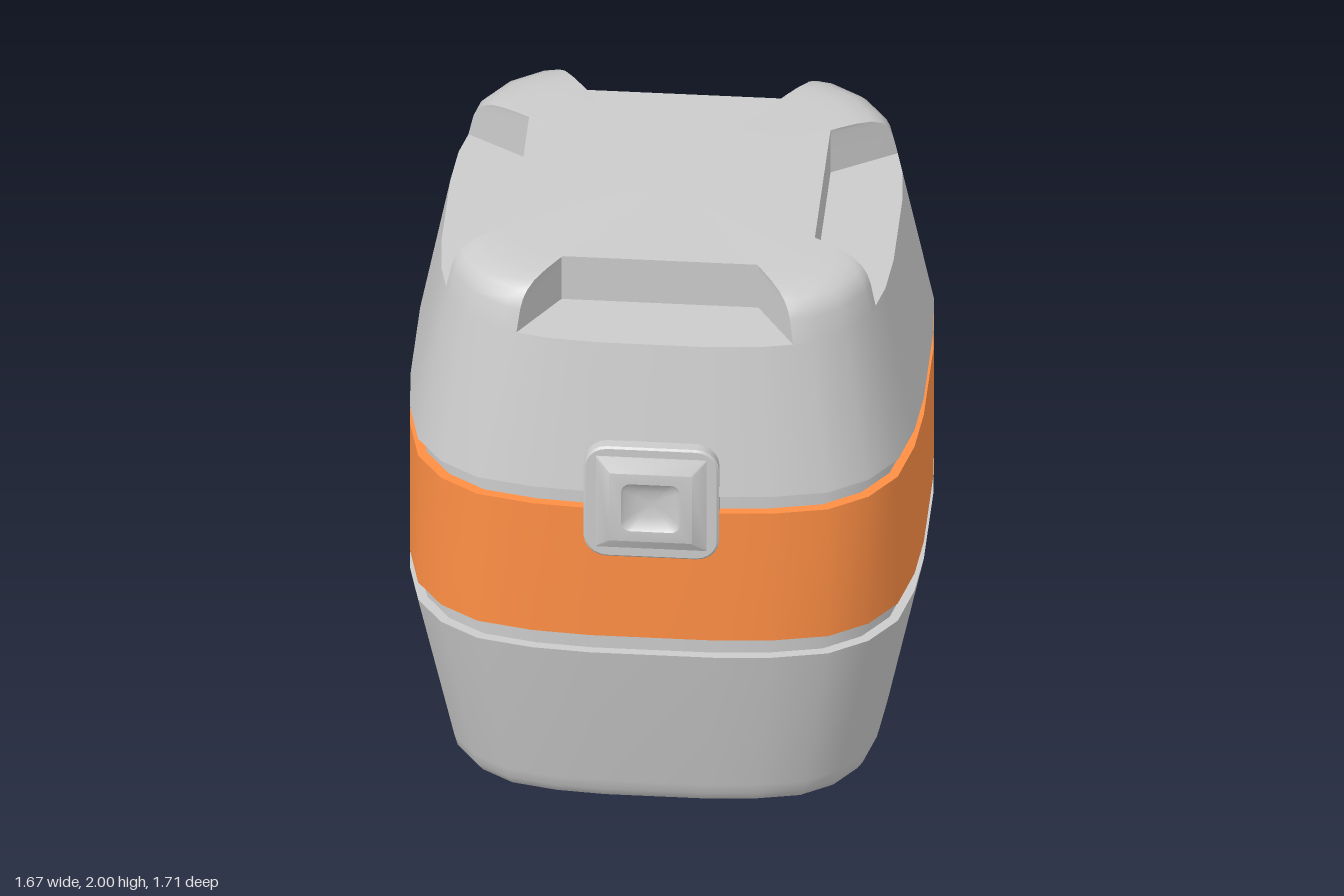
import * as THREE from 'three';
import { mergeGeometries, toCreasedNormals } from 'three/addons/utils/BufferGeometryUtils.js';

const V = (x, y, z) => new THREE.Vector3(x, y, z);
const HALF = 0.835;

// One quadrant of the soft square outline, repeated four times
const QUADRANT = [[0.835, 0.2], [0.82, 0.39], [0.78, 0.57], [0.695, 0.695], [0.57, 0.78], [0.39, 0.82], [0.2, 0.835]];
const turn = ([x, z], q) => {
  for (let i = 0; i < q; i++) [x, z] = [-z, x];
  return [x, z];
};
const OUTLINE = [0, 1, 2, 3].flatMap(q => QUADRANT.map(p => turn(p, q)));

// Skin closed rings of equal length; a ring of equal points closes the end
function loft(rings) {
  const n = rings[0].length, pos = [];
  const tri = (a, b, c) => {
    const area = b.clone().sub(a).cross(c.clone().sub(a)).length();
    if (area > 1e-9) pos.push(...a.toArray(), ...b.toArray(), ...c.toArray());
  };
  for (let i = 0; i < rings.length - 1; i++) {
    for (let j = 0; j < n; j++) {
      const k = (j + 1) % n;
      tri(rings[i][j], rings[i + 1][j], rings[i][k]);
      tri(rings[i][k], rings[i + 1][j], rings[i + 1][k]);
    }
  }
  const geo = new THREE.BufferGeometry();
  geo.setAttribute('position', new THREE.Float32BufferAttribute(pos, 3));
  return geo;
}

// Soft square shell from a profile of [half width, height]
const shell = profile => loft(profile.map(([w, y]) =>
  OUTLINE.map(([x, z]) => V(x * w / HALF, y, z * w / HALF))));

// Crown: soft square with a trapezoid notch in the middle of each side
function crown(profile) {
  const inner = [0.49, 0.32];
  // where the notch wall meets the outline, between the 2nd and 3rd outline points
  const [p, q] = [QUADRANT[1], QUADRANT[2]], slope = Math.tan(32.8 * Math.PI / 180);
  const t = (slope * p[0] - p[1]) / (q[1] - p[1] - slope * (q[0] - p[0]));
  const hit = [p[0] + t * (q[0] - p[0]), p[1] + t * (q[1] - p[1])];
  return loft(profile.map(([w, y]) => {
    const s = w / HALF, k = w === 0 ? 0 : 1;
    const arc = [hit, ...QUADRANT.slice(2, 5), [hit[1], hit[0]]].map(([x, z]) => [x * s, z * s]);
    const quarter = [[inner[0] * k, inner[1] * k], ...arc, [inner[1] * k, inner[0] * k]];
    return [0, 1, 2, 3].flatMap(i => quarter.map(c => turn(c, i))).map(([x, z]) => V(x, y, z));
  }));
}

// Rounded rectangle ring facing +z
function rectRing(hw, hh, r, z) {
  const ring = [];
  for (let c = 0; c < 4; c++) {
    const sx = c === 0 || c === 3 ? 1 : -1, sy = c < 2 ? -1 : 1;
    for (let i = 0; i <= 5; i++) {
      const a = (c + i / 5) * Math.PI / 2;
      ring.push(V(sx * (hw - r) + r * Math.cos(a), sy * (hh - r) - r * Math.sin(a), z));
    }
  }
  return ring;
}

export function createModel() {
  const model = new THREE.Group();
  const grey = new THREE.MeshStandardMaterial({ color: 0xcccccc });
  const orange = new THREE.MeshStandardMaterial({ color: 0xff8f45 });
  const add = (name, geo, mat = grey, crease = 0.7) => {
    const mesh = new THREE.Mesh(toCreasedNormals(geo, crease), mat);
    mesh.name = name;
    model.add(mesh);
    return mesh;
  };

  // Tapered lower body with a rounded foot
  const body = add('lowerBody', shell([
    [0, 0], [0.5, 0.003], [0.6, 0.008], [0.65, 0.02], [0.685, 0.042], [0.705, 0.075], [0.715, 0.115],
    [0.833, 0.68], [0.835, 0.69], [0.78, 0.69],
  ]));

  // Recessed core seen in the two grooves
  const core = add('grooveCore', shell([[0.805, 0.65], [0.805, 1.36]]));

  // Coloured middle band
  const band = add('middleBand', shell([[0.78, 0.757], [0.835, 0.757], [0.835, 1.25], [0.78, 1.25]]), orange);

  // Lid with its notched crown
  const lid = add('lid', mergeGeometries([
    shell([[0.78, 1.315], [0.835, 1.315], [0.833, 1.325], [0.735, 1.83], [0, 1.83]]),
    crown([[0.735, 1.83], [0.717, 1.91], [0.705, 1.94], [0.685, 1.964], [0.65, 1.983],
      [0.6, 1.992], [0.54, 1.996], [0, 2]]),
  ]));

  // The soft square parts sit slightly behind the origin
  for (const part of [body, core, band, lid]) part.position.z = -0.02;

  // Latch: rounded plate and bevelled block with a dished button
  const plate = add('latchPlate', loft([
    rectRing(0.22, 0.2125, 0.075, 0.7), rectRing(0.22, 0.2125, 0.075, 0.816),
    rectRing(0.213, 0.2055, 0.07, 0.822), rectRing(0, 0, 0, 0.822),
  ]), grey, 0.5);
  plate.position.y = 1.2825;

  const block = add('latchBlock', loft([
    rectRing(0.18, 0.175, 0.004, 0.75), rectRing(0.18, 0.175, 0.004, 0.825),
    rectRing(0.135, 0.13, 0.004, 0.855), rectRing(0.095, 0.091, 0.03, 0.855),
    rectRing(0.085, 0.081, 0.028, 0.845), rectRing(0.05, 0.048, 0.018, 0.832), rectRing(0, 0, 0, 0.828),
  ]), grey, 0.5);
  block.position.y = 1.285;

  return model;
}
